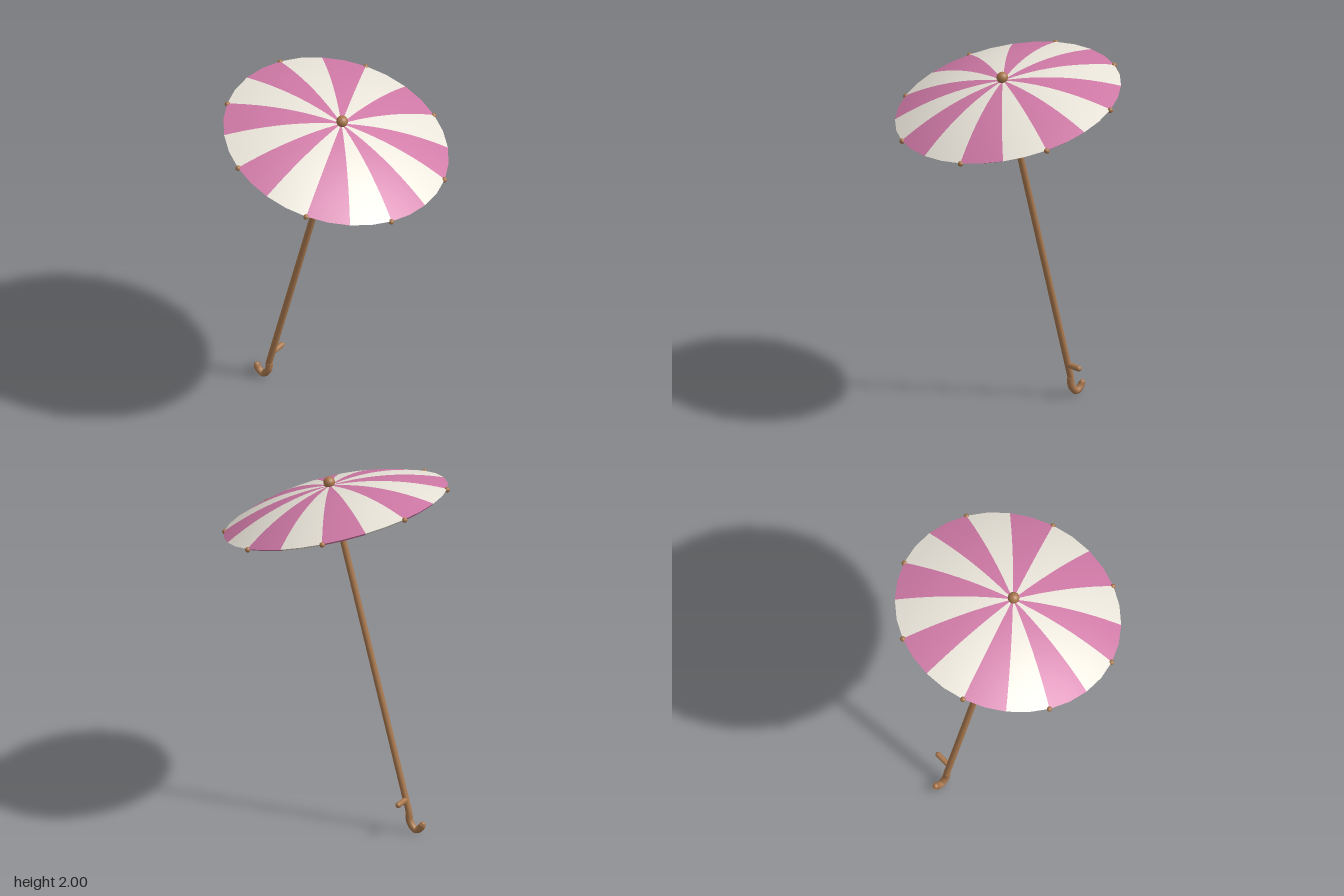
import * as THREE from 'three';
import { mergeGeometries } from 'three/addons/utils/BufferGeometryUtils.js';

const TILT = THREE.MathUtils.degToRad(-15);
const RIM = 0.627, RISE = 0.142, DROP = 0.16;
const GORES = 16, STEP = (Math.PI * 2) / GORES;

export function createModel() {
  const model = new THREE.Group();
  model.name = 'parasol';

  const wood = new THREE.MeshStandardMaterial({ color: 0xa9784e });
  const pink = new THREE.MeshStandardMaterial({ color: 0xcf79a6, side: THREE.DoubleSide });
  const cream = new THREE.MeshStandardMaterial({ color: 0xeae5da, side: THREE.DoubleSide });

  const add = (parent, name, geometry, material, x = 0, y = 0, z = 0) => {
    const mesh = new THREE.Mesh(geometry, material);
    mesh.name = name;
    mesh.position.set(x, y, z);
    parent.add(mesh);
    return mesh;
  };

  // Leaning assembly, hung from the finial
  const top = new THREE.Group();
  top.name = 'leaningParasol';
  top.position.set(0.037, 1.968, 0);
  top.rotation.z = TILT;
  model.add(top);

  add(top, 'finial', new THREE.SphereGeometry(0.032, 24, 16), wood);
  const poleLength = 1.925;
  add(top, 'pole', new THREE.CylinderGeometry(0.018, 0.018, poleLength, 16), wood, 0, -poleLength / 2, 0);

  // Canopy: striped gores of a shallow dome, each with a narrow turned-in hem
  const canopy = new THREE.Group();
  canopy.name = 'canopy';
  canopy.position.y = -DROP;
  top.add(canopy);

  const dome = [];
  for (let i = 0; i <= 12; i++) {
    const t = 1 - i / 12;
    dome.push(new THREE.Vector2(RIM * t, RISE * (1 - t * t)));
  }
  const hem = [new THREE.Vector2(RIM - 0.02, -0.013), new THREE.Vector2(RIM, 0)];
  for (let k = 0; k < GORES; k++) {
    const start = Math.PI / 2 - (k + 1) * STEP;
    const parts = [dome, hem].map((p) => new THREE.LatheGeometry(p, 2, start, STEP));
    add(canopy, 'gore' + (k + 1), mergeGeometries(parts), k % 2 ? cream : pink);
  }

  // Rib tips around the rim
  for (let k = 0; k < 8; k++) {
    const a = (2 * k + 1) * STEP;
    add(canopy, 'ribTip' + (k + 1), new THREE.SphereGeometry(0.015, 14, 10), wood,
      Math.cos(a) * (RIM - 0.002), -0.004, Math.sin(a) * (RIM - 0.002));
  }

  // Crook at the foot of the pole
  const path = [[-0.457, 0.115], [-0.465, 0.062], [-0.5, 0.024], [-0.53, 0.041], [-0.543, 0.064]]
    .map(([x, y]) => new THREE.Vector3(x, y, 0));
  const curve = new THREE.CatmullRomCurve3(path);
  const crook = new THREE.Group();
  crook.name = 'crookHandle';
  model.add(crook);
  add(crook, 'crook', new THREE.TubeGeometry(curve, 16, 0.02, 12), wood);
  const tip = path[path.length - 1];
  add(crook, 'crookTip', new THREE.SphereGeometry(0.0195, 12, 8), wood, tip.x, tip.y, 0).scale.setScalar(0.8);
  // Closing disc at each end of the crook
  for (const [t, s] of [[0, -1], [1, 1]]) {
    const p = curve.getPoint(t);
    const cap = add(crook, 'crookCap', new THREE.CircleGeometry(0.02, 12), wood, p.x, p.y, 0);
    cap.lookAt(p.clone().addScaledVector(curve.getTangent(t), s));
  }

  // Peg sticking out of the back of the pole
  const peg = add(model, 'peg', new THREE.CapsuleGeometry(0.016, 0.085, 4, 14), wood, -0.44, 0.19, -0.046);
  peg.rotation.x = Math.PI / 2;

  return model;
}
